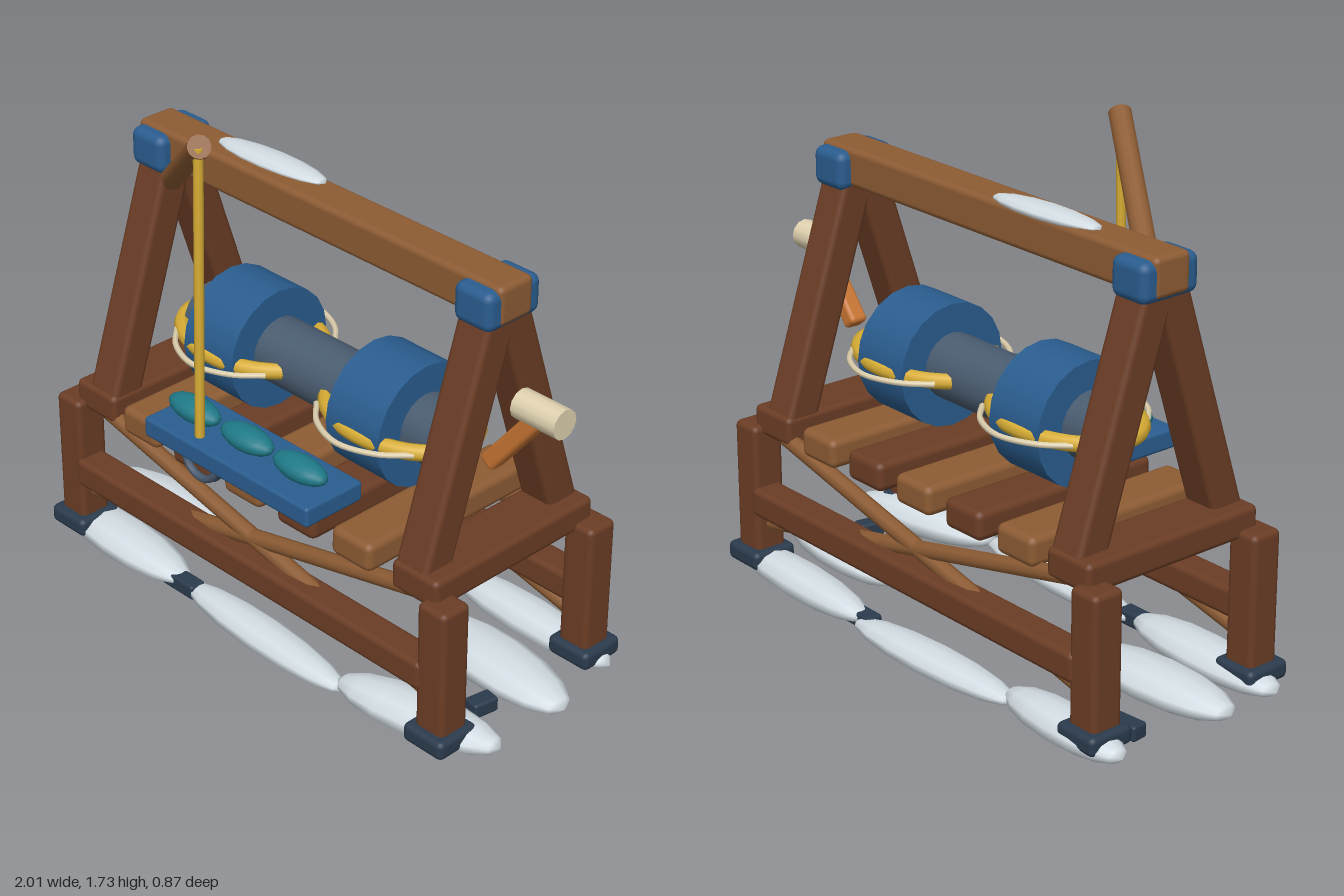
import * as THREE from 'three';
import { RoundedBoxGeometry } from 'three/addons/geometries/RoundedBoxGeometry.js';

const V = (x, y, z) => new THREE.Vector3(x, y, z);
const paint = (color) => new THREE.MeshStandardMaterial({ color, roughness: 0.8 });
const M = {
  darkWood: paint(0x6b3d25), lightWood: paint(0x8d5c34), blue: paint(0x2a5d8f),
  navy: paint(0x2b3b4d), slate: paint(0x4a5c70), rope: paint(0xd9ae35),
  cream: paint(0xe0d2b0), teal: paint(0x1f7a88), orange: paint(0xc87533), ice: paint(0xd3dde3),
};
const X0 = -0.01; // middle of the frame along x

export function createModel() {
  const model = new THREE.Group();
  model.name = 'winchFrame';

  const add = (name, geometry, material, pos = V(0, 0, 0)) => {
    const mesh = new THREE.Mesh(geometry, material);
    mesh.name = name;
    mesh.position.copy(pos);
    model.add(mesh);
    return mesh;
  };
  const box = (name, mat, w, h, d, x, y, z, r = 0.02) =>
    add(name, new RoundedBoxGeometry(w, h, d, 2, r), mat, V(x, y, z));
  // lays a geometry built along y between two points
  const between = (name, mat, a, b, makeGeometry) => {
    const dir = b.clone().sub(a);
    const mesh = add(name, makeGeometry(dir.length()), mat, a.clone().add(b).multiplyScalar(0.5));
    mesh.quaternion.setFromUnitVectors(V(0, 1, 0), dir.normalize());
    return mesh;
  };
  const rod = (name, mat, a, b, r, sides = 12) =>
    between(name, mat, a, b, (len) => new THREE.CylinderGeometry(r, r, len, sides));
  // pointed flat lump with its long axis on x
  const lump = (name, mat, x, y, z, rx, ry, rz, turn = 0, sides = 10) => {
    const g = new THREE.SphereGeometry(1, sides, 8).rotateZ(Math.PI / 2).scale(rx, ry, rz);
    add(name, g, mat, V(x, y, z)).rotation.y = turn;
  };

  // legs, shoes and A-frame posts at the four corners
  for (const sx of [-1, 1]) {
    for (const sz of [-1, 1]) {
      box('leg', M.darkWood, 0.115, 0.5, 0.115, X0 + sx * 0.835, 0.31, sz * 0.322);
      box('legShoe', M.navy, 0.165, 0.065, 0.165, X0 + sx * 0.835, 0.088, sz * 0.325);
      between('aFramePost', M.darkWood,
        V(X0 + sx * 0.705, 0.58, sz * 0.285), V(X0 + sx * 0.705, 1.42, sz * 0.012),
        (len) => new RoundedBoxGeometry(0.13, len, 0.118, 2, 0.02));
    }
    box('sideBeam', M.darkWood, 0.19, 0.1, 0.69, X0 + sx * 0.73, 0.577, 0);
    box('cornerCap', M.blue, 0.15, 0.13, 0.225, X0 + sx * 0.71, 1.413, 0, 0.03);
  }

  // long rails with crossed braces, front and back
  for (const sz of [-1, 1]) {
    box('lowerRail', M.darkWood, 1.6, 0.1, 0.11, X0, 0.295, sz * 0.332);
    for (const sx of [-1, 1])
      rod('crossBrace', M.lightWood, V(X0 + sx * 0.79, 0.565, sz * 0.315),
        V(X0 - sx * 0.79, 0.205, sz * 0.315), 0.028, 8);
  }
  box('topBeam', M.lightWood, 1.58, 0.13, 0.14, X0, 1.425, 0);

  // deck planks
  for (let i = 0; i < 5; i++)
    box('deckPlank', i % 2 ? M.darkWood : M.lightWood, 0.17, 0.1, 0.71, -0.025 + (i - 2) * 0.2425, 0.58, 0, 0.025);

  // winch shaft, drums and their rope loops
  const axisY = 0.858;
  rod('winchShaft', M.slate, V(-0.555, axisY, 0), V(0.535, axisY, 0), 0.11, 20);
  for (const sx of [-1, 1]) {
    const cx = X0 + sx * 0.325;
    rod('winchDrum', M.blue, V(cx - 0.112, axisY, 0), V(cx + 0.112, axisY, 0), 0.206, 20);
    const ring = [];
    for (let i = 0; i < 16; i++) {
      const a = (i / 16) * Math.PI * 2;
      ring.push(V(Math.cos(a) * 0.27, 0, Math.sin(a) * 0.19));
    }
    const loop = new THREE.CatmullRomCurve3(ring, true);
    add('ropeLoop', new THREE.TubeGeometry(loop, 40, 0.027, 8, true), M.rope, V(X0 + sx * 0.335, axisY, 0));
    for (const sz of [-1, 1]) {
      const arc = new THREE.CatmullRomCurve3([
        V(-0.21, 0, sz * 0.15), V(-0.13, 0, sz * 0.225), V(0, 0, sz * 0.268),
        V(0.13, 0, sz * 0.225), V(0.21, 0, sz * 0.15)]);
      add('lashingCord', new THREE.TubeGeometry(arc, 20, 0.01, 6), M.cream, V(cx, axisY, 0));
    }
  }

  // crank with grip
  between('crankArm', M.orange, V(0.7, 0.855, 0), V(0.89, 1.09, 0),
    (len) => new RoundedBoxGeometry(0.06, len, 0.065, 2, 0.015));
  rod('crankGrip', M.cream, V(0.81, 1.102, 0), V(0.98, 1.102, 0), 0.049);

  // boom, hanging rope, tray and hook
  rod('boom', M.lightWood, V(-0.66, 1.32, 0.055), V(-0.17, 1.705, 0.362), 0.037);
  rod('hoistRope', M.rope, V(-0.175, 1.7, 0.362), V(-0.175, 0.71, 0.385), 0.016, 8);
  box('tray', M.blue, 0.745, 0.07, 0.235, -0.012, 0.68, 0.318, 0.012);
  for (const x of [-0.255, -0.012, 0.225])
    lump('trayCargo', M.teal, x, 0.757, 0.333, 0.11, 0.04, 0.052, 0, 14);
  add('hook', new THREE.TorusGeometry(0.072, 0.013, 8, 20, Math.PI), M.slate, V(-0.175, 0.635, 0.385)).rotation.z = Math.PI;

  // ice floes under the frame: x, z, half length, half height, half width, turn
  for (const [x, z, rx, ry, rz, turn] of [
    [-0.66, 0.31, 0.33, 0.055, 0.1, -0.05], [0.06, 0.34, 0.39, 0.045, 0.075, -0.05],
    [0.7, 0.29, 0.3, 0.06, 0.1, 0.18], [-0.72, -0.33, 0.27, 0.055, 0.09, -0.05],
    [-0.13, -0.355, 0.38, 0.045, 0.08, 0.03], [0.58, -0.335, 0.36, 0.055, 0.085, -0.04],
    [-0.7, 0.065, 0.31, 0.06, 0.115, 0.05], [0.68, -0.075, 0.32, 0.06, 0.12, -0.1],
  ]) lump('iceFloe', M.ice, x, ry + 0.01, z, rx, ry, rz, turn);
  lump('beamSnow', M.ice, -0.275, 1.492, -0.025, 0.228, 0.024, 0.058, 0.05);

  // dark ties between the floes
  for (const [x, z, turn] of [[-0.34, 0.33, 0], [0.79, 0.105, 1.4], [-0.82, -0.19, 0.1], [0.26, -0.34, 0]])
    box('floeTie', M.navy, turn > 1 ? 0.09 : 0.15, 0.052, 0.06, x, 0.057, z, 0.01).rotation.y = turn;

  return model;
}
